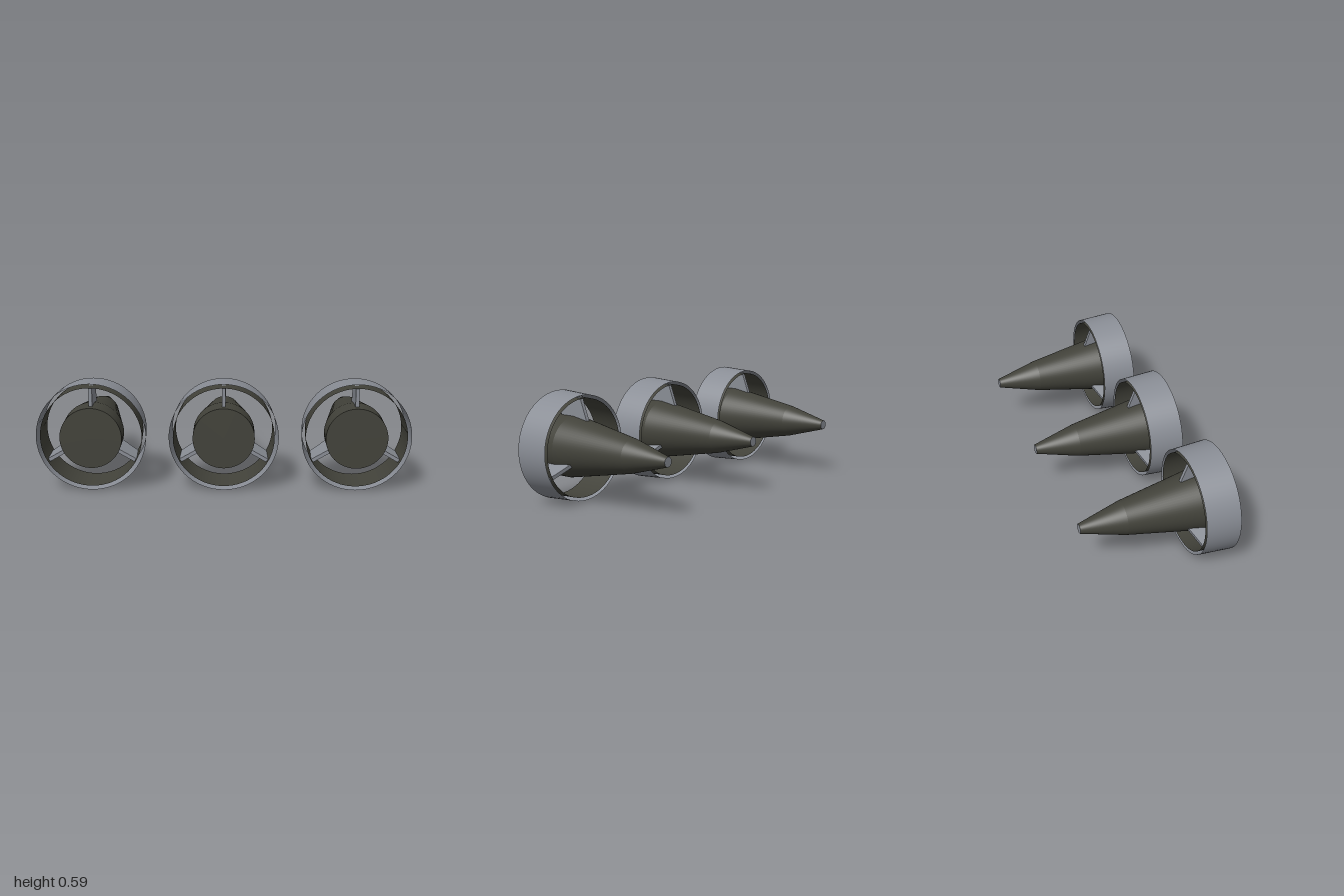
import * as THREE from 'three';

const CENTER_Y = 0.294;
const SPACING = 0.707;
const SIDES = 64;

// Open conical band along z, from (zBack, rBack) to (zFront, rFront)
function band(name, zBack, rBack, zFront, rFront, material) {
  const geo = new THREE.CylinderGeometry(rFront, rBack, zFront - zBack, SIDES, 1, true);
  geo.rotateX(Math.PI / 2);
  geo.translate(0, 0, (zFront + zBack) / 2);
  const mesh = new THREE.Mesh(geo, material);
  mesh.name = name;
  return mesh;
}

function disc(name, z, radius, facing, material) {
  const mesh = new THREE.Mesh(new THREE.CircleGeometry(radius, SIDES), material);
  mesh.position.z = z;
  if (facing < 0) mesh.rotation.y = Math.PI;
  mesh.name = name;
  return mesh;
}

// Radial strut with a swept trailing edge, drawn as (z, radius) and extruded sideways
function strutGeometry() {
  const thickness = 0.02;
  const shape = new THREE.Shape([
    new THREE.Vector2(0.35, 0.13),
    new THREE.Vector2(0.35, 0.268),
    new THREE.Vector2(0.207, 0.268),
    new THREE.Vector2(0.155, 0.13),
  ]);
  const geo = new THREE.ExtrudeGeometry(shape, { depth: thickness, bevelEnabled: false });
  geo.translate(0, 0, -thickness / 2);
  geo.rotateY(-Math.PI / 2);
  return geo;
}

export function createModel() {
  const dark = new THREE.MeshStandardMaterial({ color: 0x42423a, side: THREE.DoubleSide });
  dark.name = 'dark olive';
  const grey = new THREE.MeshStandardMaterial({ color: 0x8a8e96, side: THREE.DoubleSide });
  grey.name = 'steel grey';

  const strutGeo = strutGeometry();

  function createThruster() {
    const unit = new THREE.Group();

    // Tapered central body
    const body = new THREE.Group();
    body.name = 'centerBody';
    const profile = [[-0.39, 0.026], [-0.155, 0.09], [0.26, 0.165], [0.39, 0.165]];
    for (let i = 0; i < profile.length - 1; i++) {
      body.add(band('bodySection', ...profile[i], ...profile[i + 1], dark));
    }
    body.add(disc('frontCap', 0.39, 0.165, 1, dark));
    body.add(disc('tailCap', -0.39, 0.026, -1, grey));
    unit.add(body);

    // Open duct made of two thin shells
    const duct = new THREE.Group();
    duct.name = 'duct';
    duct.add(band('outerShell', 0.188, 0.282, 0.375, 0.293, grey));
    duct.add(band('innerShell', 0.188, 0.264, 0.375, 0.271, dark));
    unit.add(duct);

    // Three struts joining body and duct
    for (let i = 0; i < 3; i++) {
      const strut = new THREE.Mesh(strutGeo, grey);
      strut.name = 'strut';
      strut.rotation.z = (i * Math.PI * 2) / 3;
      unit.add(strut);
    }
    return unit;
  }

  const model = new THREE.Group();
  model.name = 'thrusterRow';
  ['rightThruster', 'middleThruster', 'leftThruster'].forEach((name, i) => {
    const unit = createThruster();
    unit.name = name;
    unit.position.set((i - 1) * SPACING, CENTER_Y, 0);
    model.add(unit);
  });
  return model;
}
